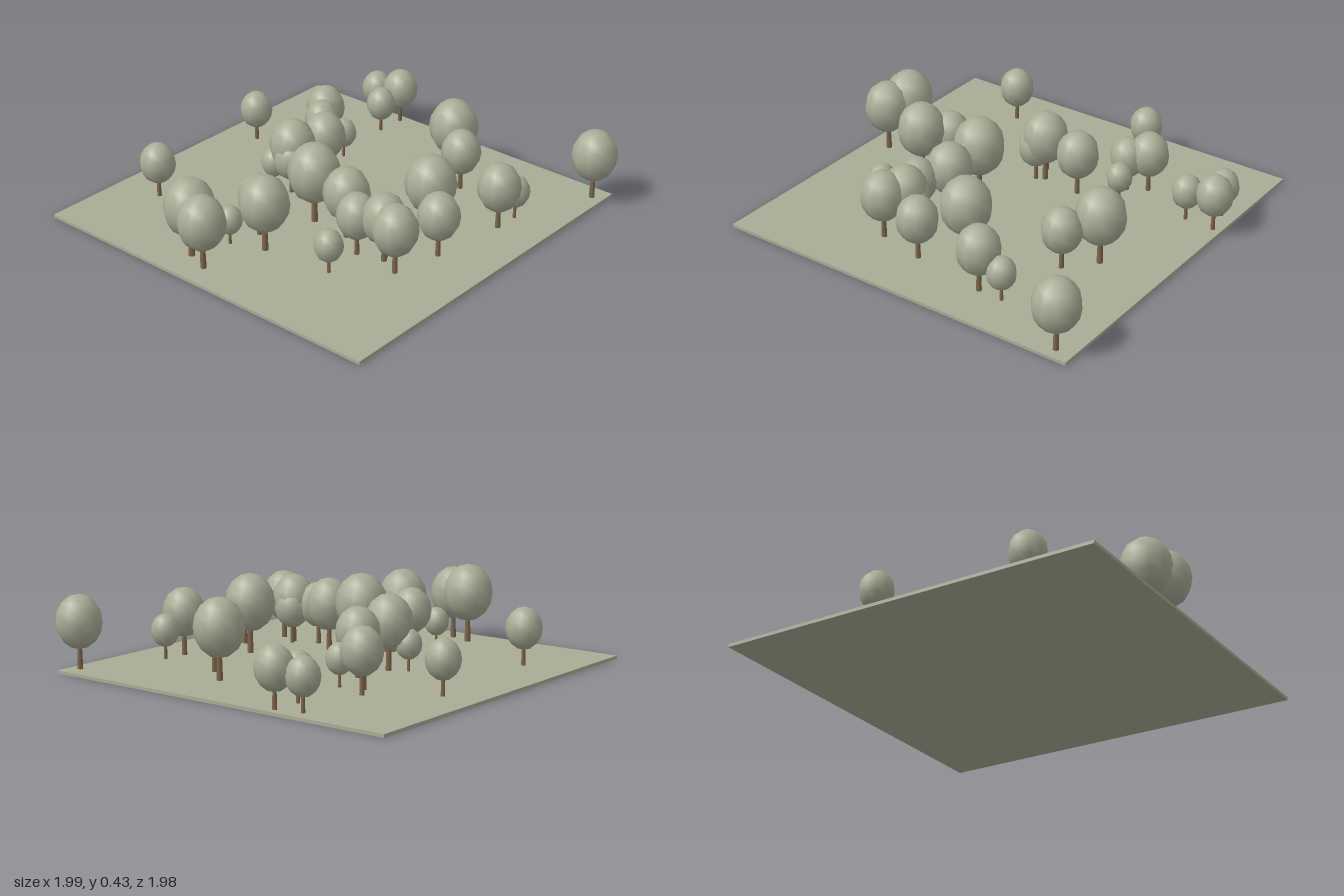
import * as THREE from 'three';

const GROUND_TOP = 0.016;

// One row per tree: x, z, crown radius
const TREES = [
  // back edge
  [-0.51, -0.875, 0.08], [-0.375, -0.905, 0.092], [-0.38, -0.75, 0.076], [0.88, -0.86, 0.114],
  // back half
  [0.19, -0.63, 0.124], [0.33, -0.51, 0.1], [0.71, -0.445, 0.071], [0.705, -0.315, 0.107],
  [-0.51, -0.455, 0.1], [-0.455, -0.365, 0.09], [-0.335, -0.395, 0.066], [-0.81, -0.25, 0.084],
  // middle
  [-0.28, -0.185, 0.107], [-0.305, 0.025, 0.117], [-0.39, 0.07, 0.065], [-0.28, 0.065, 0.09],
  [0.48, -0.075, 0.126], [0.65, 0.08, 0.103], [0, 0.21, 0.13], [0.215, 0.225, 0.115],
  [0.355, 0.315, 0.1], [0.49, 0.28, 0.11], [0.475, 0.25, 0.09], [0.595, 0.33, 0.11],
  // front half
  [-0.75, 0.52, 0.09], [-0.115, 0.475, 0.1], [0.005, 0.565, 0.122], [-0.16, 0.63, 0.063],
  [0.365, 0.525, 0.07], [-0.22, 0.825, 0.126], [-0.1, 0.87, 0.117],
];

export function createModel() {
  const model = new THREE.Group();
  model.name = 'grove';

  const groundGreen = new THREE.MeshStandardMaterial({ color: 0xa9ad96 });
  const leafGreen = new THREE.MeshStandardMaterial({ color: 0xa9ad96 });
  const barkBrown = new THREE.MeshStandardMaterial({ color: 0x80664a });
  groundGreen.name = 'groundGreen';
  leafGreen.name = 'leafGreen';
  barkBrown.name = 'barkBrown';

  // Flat ground slab
  const ground = new THREE.Mesh(new THREE.BoxGeometry(1.94, GROUND_TOP, 1.94), groundGreen);
  ground.name = 'ground';
  ground.position.set(-0.03, GROUND_TOP / 2, 0.02);
  model.add(ground);

  // Unit tree: crown radius 1, base at y = 0
  const crownGeometry = new THREE.SphereGeometry(1, 10, 8);
  crownGeometry.scale(1, 1.17, 1).translate(0, 2.03, 0);
  const trunkGeometry = new THREE.CylinderGeometry(0.09, 0.125, 1.3, 8);
  trunkGeometry.translate(0, 0.65, 0);

  for (const [x, z, radius] of TREES) {
    const tree = new THREE.Group();
    tree.name = 'tree';
    const trunk = new THREE.Mesh(trunkGeometry, barkBrown);
    trunk.name = 'trunk';
    const crown = new THREE.Mesh(crownGeometry, leafGreen);
    crown.name = 'crown';
    tree.add(trunk, crown);
    tree.position.set(x, GROUND_TOP, z);
    tree.scale.setScalar(radius);
    model.add(tree);
  }

  return model;
}
